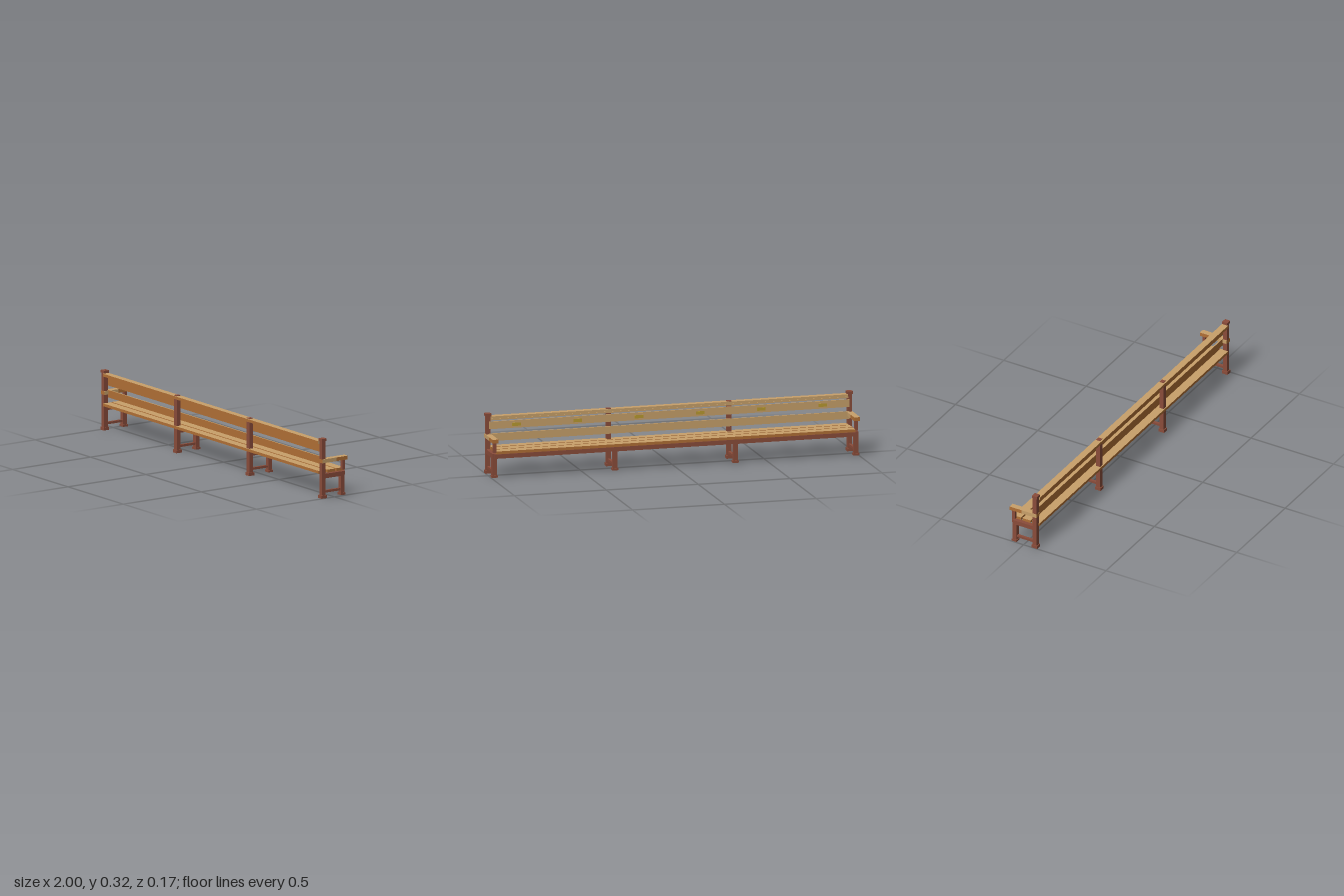
import * as THREE from 'three';

const mat = (name, color) => {
  const m = new THREE.MeshStandardMaterial({ color });
  m.name = name;
  return m;
};

export function createModel() {
  const bench = new THREE.Group();
  bench.name = 'bench';
  const frame = mat('reddish brown frame', 0x8a4c3a);
  const tan = mat('pale worn wood', 0xc8a06a);
  const wood = mat('orange wood', 0xb06f35);
  const brass = mat('brass', 0xb89a30);

  // Box given by its limits on each axis
  const box = (parent, name, material, [x0, x1], [y0, y1], [z0, z1]) => {
    const mesh = new THREE.Mesh(new THREE.BoxGeometry(x1 - x0, y1 - y0, z1 - z0), material);
    mesh.position.set((x0 + x1) / 2, (y0 + y1) / 2, (z0 + z1) / 2);
    mesh.name = name;
    parent.add(mesh);
  };
  const wide = (h) => [-h, h];

  // Face order: +x, -x, +y, -y, +z, -z
  const flatBoard = [wood, wood, tan, wood, wood, wood];
  const backBoard = [tan, tan, tan, wood, wood, tan];

  // Four support frames, the outer two with caps and armrests
  for (let i = 0; i < 4; i++) {
    const x = -0.984 + i * 0.656;
    const isEnd = i === 0 || i === 3;
    const g = new THREE.Group();
    g.name = isEnd ? 'endFrame' : 'middleFrame';
    g.position.x = x;
    bench.add(g);
    box(g, 'backPost', frame, wide(0.012), [0.01, 0.308], [0.053, 0.077]);
    box(g, 'backFoot', frame, wide(0.016), [0, 0.016], [0.048, 0.082]);
    box(g, 'seatLeg', frame, wide(0.012), [0.01, 0.108], [-0.069, -0.045]);
    box(g, 'seatFoot', frame, wide(0.016), [0.003, 0.014], [-0.072, -0.042]);
    box(g, 'stretcher', frame, wide(0.007), [0.028, 0.04], [-0.045, 0.053]);
    box(g, 'seatBearer', frame, wide(0.0115), [0.106, 0.13], [-0.069, 0.06]);
    if (isEnd) {
      box(g, 'postCap', frame, wide(0.0155), [0.306, 0.32], [0.05, 0.081]);
      box(g, 'armSupport', frame, wide(0.009), [0.137, 0.19], [-0.073, -0.057]);
      box(g, 'armrestTip', flatBoard, wide(0.016), [0.19, 0.21], [-0.085, -0.012]);
      box(g, 'armrestRear', [tan, tan, tan, wood, wood, tan], wide(0.016), [0.19, 0.21], [-0.012, 0.078]);
    }
  }

  // Seat boards and the apron under their open edge
  for (const z of [[-0.079, -0.03], [-0.022, 0.027], [0.036, 0.083]]) {
    box(bench, 'seatBoard', flatBoard, wide(0.975), [0.13, 0.145], z);
  }
  box(bench, 'apron', frame, wide(0.984), [0.106, 0.129], [-0.079, -0.069]);

  // Backrest
  box(bench, 'topRail', backBoard, wide(0.973), [0.29, 0.305], [0.049, 0.085]);
  box(bench, 'railMoulding', backBoard, wide(0.973), [0.285, 0.293], [0.047, 0.053]);
  box(bench, 'upperBackBoard', backBoard, wide(0.98), [0.238, 0.278], [0.046, 0.053]);
  box(bench, 'lowerBackBoard', backBoard, wide(0.98), [0.174, 0.214], [0.046, 0.053]);

  // Small plates along the upper board
  for (let i = 0; i < 6; i++) {
    const x = -0.833 + i * 0.3332;
    box(bench, 'plaque', brass, [x - 0.023, x + 0.023], [0.248, 0.265], [0.043, 0.046]);
  }
  return bench;
}
